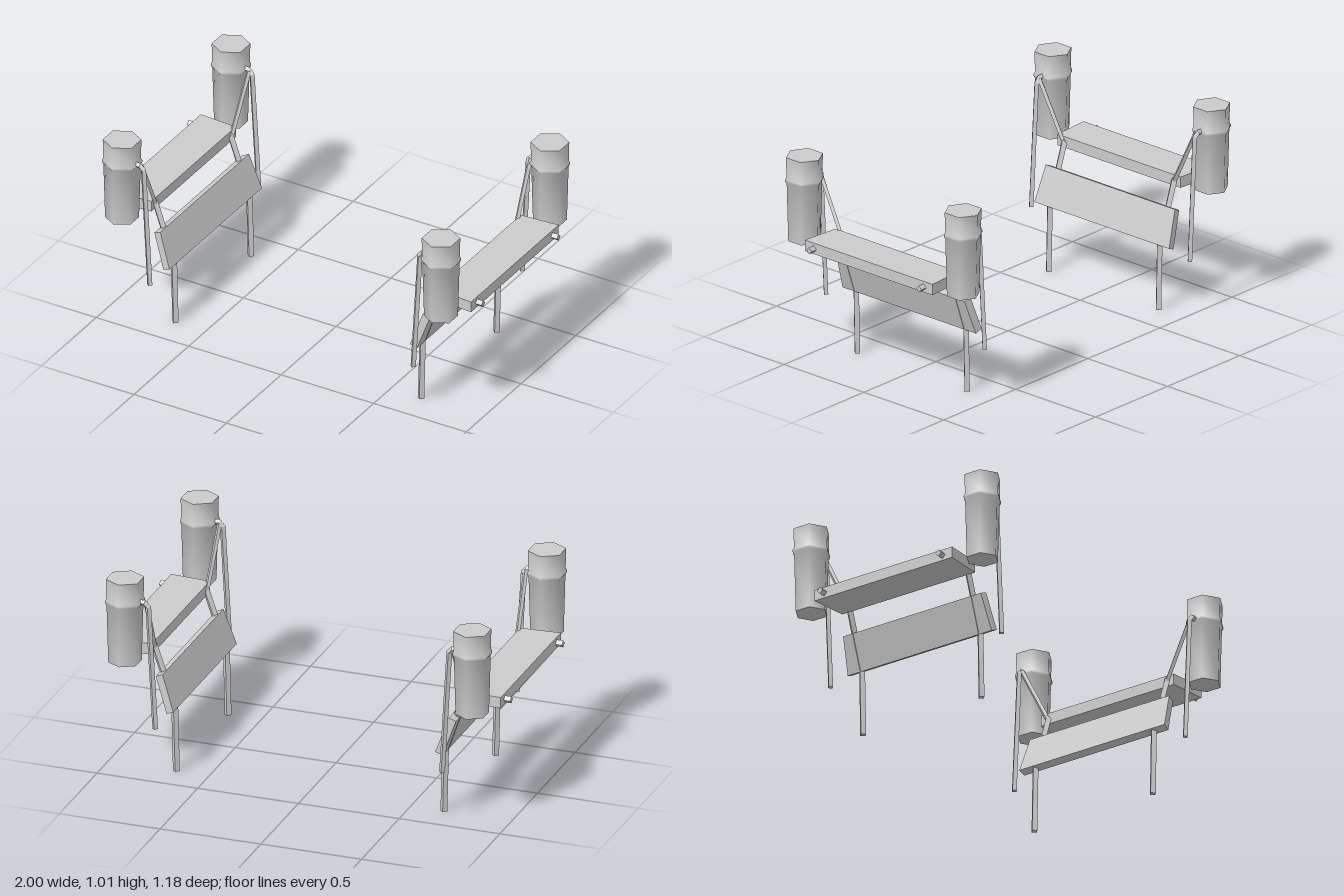
import * as THREE from 'three';
import { toCreasedNormals } from 'three/addons/utils/BufferGeometryUtils.js';
import { ConvexGeometry } from 'three/addons/geometries/ConvexGeometry.js';

const V = (x, y, z) => new THREE.Vector3(x, y, z);
const smooth = new THREE.MeshStandardMaterial({ color: 0xcccccc });
const flat = new THREE.MeshStandardMaterial({ color: 0xcccccc, flatShading: true });

function add(parent, name, geometry, material = flat) {
  const mesh = new THREE.Mesh(geometry, material);
  mesh.name = name;
  parent.add(mesh);
  return mesh;
}

// Mitred bar of diamond section along a polyline
function bar(path, r) {
  const pos = [], idx = [], last = path.length - 1;
  path.forEach((p, i) => {
    const din = path[Math.max(i, 1)].clone().sub(path[Math.max(i, 1) - 1]).normalize();
    const dout = path[Math.min(i, last - 1) + 1].clone().sub(path[Math.min(i, last - 1)]).normalize();
    const t = din.clone().add(dout).normalize();
    const n = V(0, 0, 1).cross(t).normalize();
    const b = t.clone().cross(n);
    const miter = r / t.dot(din);
    [[n, miter], [b, r], [n, -miter], [b, -r]].forEach(([d, s]) => {
      pos.push(...p.clone().addScaledVector(d, s).toArray());
    });
    if (i < last) {
      for (let j = 0; j < 4; j++) {
        const a = i * 4 + j, c = i * 4 + (j + 1) % 4;
        idx.push(a, c, c + 4, a, c + 4, a + 4);
      }
    }
  });
  const e = last * 4;
  idx.push(0, 2, 1, 0, 3, 2, e, e + 1, e + 2, e, e + 2, e + 3);
  const g = new THREE.BufferGeometry();
  g.setAttribute('position', new THREE.Float32BufferAttribute(pos, 3));
  g.setIndex(idx);
  const out = g.toNonIndexed();
  out.computeVertexNormals();
  return out;
}

// Board from [x, y, halfLength] corners, symmetric in z
function board(corners) {
  return new ConvexGeometry(corners.flatMap(([x, y, h]) => [V(x, y, h), V(x, y, -h)]));
}

// Six-sided canister with a raised band
function canister() {
  const profile = [[0, 0.59], [0.079, 0.59], [0.087, 0.88], [0.094, 0.891], [0.094, 0.902],
    [0.088, 0.912], [0.09, 1.012], [0, 1.012]].map(([x, y]) => new THREE.Vector2(x, y));
  return toCreasedNormals(new THREE.LatheGeometry(profile, 6), 1.2);
}

function side(name) {
  const group = new THREE.Group();
  group.name = name;

  add(group, 'shelf', board([
    [0.77, 0.59, 0.386], [0.77, 0.645, 0.386], [0.967, 0.59, 0.4], [0.967, 0.645, 0.4],
  ]));
  add(group, 'slopedPanel', board([
    [0.65, 0.33, 0.422], [0.71, 0.505, 0.405], [0.685, 0.315, 0.418], [0.745, 0.49, 0.4],
  ]));

  for (const s of [1, -1]) {
    // Bent leg carrying the shelf and the panel
    add(group, 'leg', bar([
      V(1, 0.616, 0.344 * s), V(0.772, 0.616, 0.344 * s),
      V(0.672, 0.325, 0.344 * s), V(0.664, 0, 0.344 * s),
    ], 0.017));

    const can = add(group, 'canister', canister(), smooth);
    can.position.set(0.862, 0, 0.497 * s);

    // Bracket hooked to the canister band, with a brace down to the leg
    add(group, 'hangingBar', bar([
      V(0.8, 0.9, 0.497 * s), V(0.765, 0.9, 0.497 * s),
      V(0.747, 0.88, 0.495 * s), V(0.712, 0.268, 0.497 * s),
    ], 0.014));
    add(group, 'brace', bar([V(0.76, 0.898, 0.49 * s), V(0.77, 0.616, 0.347 * s)], 0.012));
  }
  return group;
}

export function createModel() {
  const model = new THREE.Group();
  model.name = 'benchPair';
  const left = side('leftSide');
  const right = side('rightSide');
  right.rotation.y = Math.PI;
  model.add(left, right);
  return model;
}
